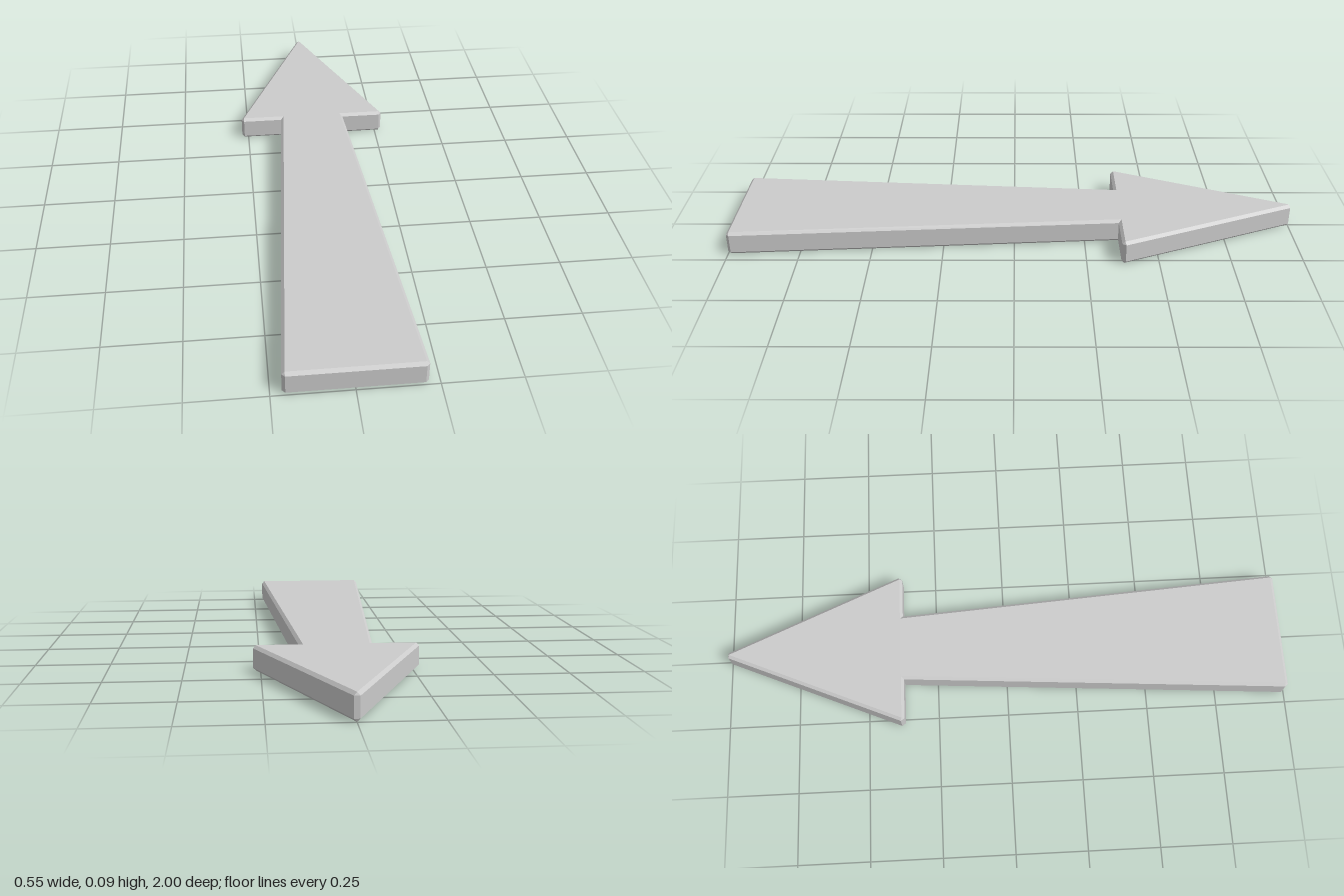
import * as THREE from 'three';

const HEIGHT = 0.085, BEVEL = 0.01;

// Flat face outline as [x, z]: tip, wing, neck, foot, then mirrored back to the tip
const half = [[0.265, -0.379], [0.11, -0.379], [0.205, 0.99]];
const inner = [[0, -0.996], ...half, ...half.map(([x, z]) => [-x, z]).reverse()]
  .map(([x, z]) => new THREE.Vector2(x, z));

// Outward normal of the edge that starts at corner i
function edgeNormal(i) {
  const n = inner.length;
  const d = inner[(i + 1) % n].clone().sub(inner[(i + n) % n]).normalize();
  return new THREE.Vector2(d.y, -d.x);
}

// Widest outline: two points per corner, chamfered if convex, mitred if concave
function outerOutline() {
  return inner.flatMap((p, i) => {
    const a = edgeNormal((i + inner.length - 1) % inner.length), b = edgeNormal(i);
    if (a.cross(b) > 0) return [a, b].map((n) => p.clone().addScaledVector(n, BEVEL));
    const mitre = p.clone().addScaledVector(a.clone().add(b), BEVEL / (1 + a.dot(b)));
    return [mitre, mitre];
  });
}

function bevelledArrowGeometry() {
  const positions = [];
  const tri = (a, b, c) => {
    const area = b.clone().sub(a).cross(c.clone().sub(a)).length();
    if (area > 1e-9) for (const v of [a, b, c]) positions.push(v.x, v.y, v.z);
  };
  const lift = (outline, y) => outline.map((p) => new THREE.Vector3(p.x, y, p.y));
  const doubled = inner.flatMap((p) => [p, p]);
  const outer = outerOutline();
  const rings = [
    lift(doubled, 0), lift(outer, BEVEL),
    lift(outer, HEIGHT - BEVEL), lift(doubled, HEIGHT),
  ];

  // Lower bevel, side walls and upper bevel
  for (let r = 0; r < 3; r++) {
    const low = rings[r], high = rings[r + 1];
    for (let i = 0; i < low.length; i++) {
      const j = (i + 1) % low.length;
      tri(low[i], high[i], high[j]);
      tri(low[i], high[j], low[j]);
    }
  }

  // Flat bottom and top
  const bottom = lift(inner, 0), top = lift(inner, HEIGHT);
  for (const [a, b, c] of [[0, 1, 2], [0, 2, 5], [0, 5, 6], [2, 3, 4], [2, 4, 5]]) {
    tri(bottom[a], bottom[b], bottom[c]);
    tri(top[a], top[c], top[b]);
  }

  const geometry = new THREE.BufferGeometry();
  geometry.setAttribute('position', new THREE.Float32BufferAttribute(positions, 3));
  geometry.computeVertexNormals();
  return geometry;
}

export function createModel() {
  const group = new THREE.Group();
  group.name = 'arrow';
  const material = new THREE.MeshStandardMaterial({ color: 0xcccccc, flatShading: true });
  const arrow = new THREE.Mesh(bevelledArrowGeometry(), material);
  arrow.name = 'arrowPlate';
  group.add(arrow);
  return group;
}
